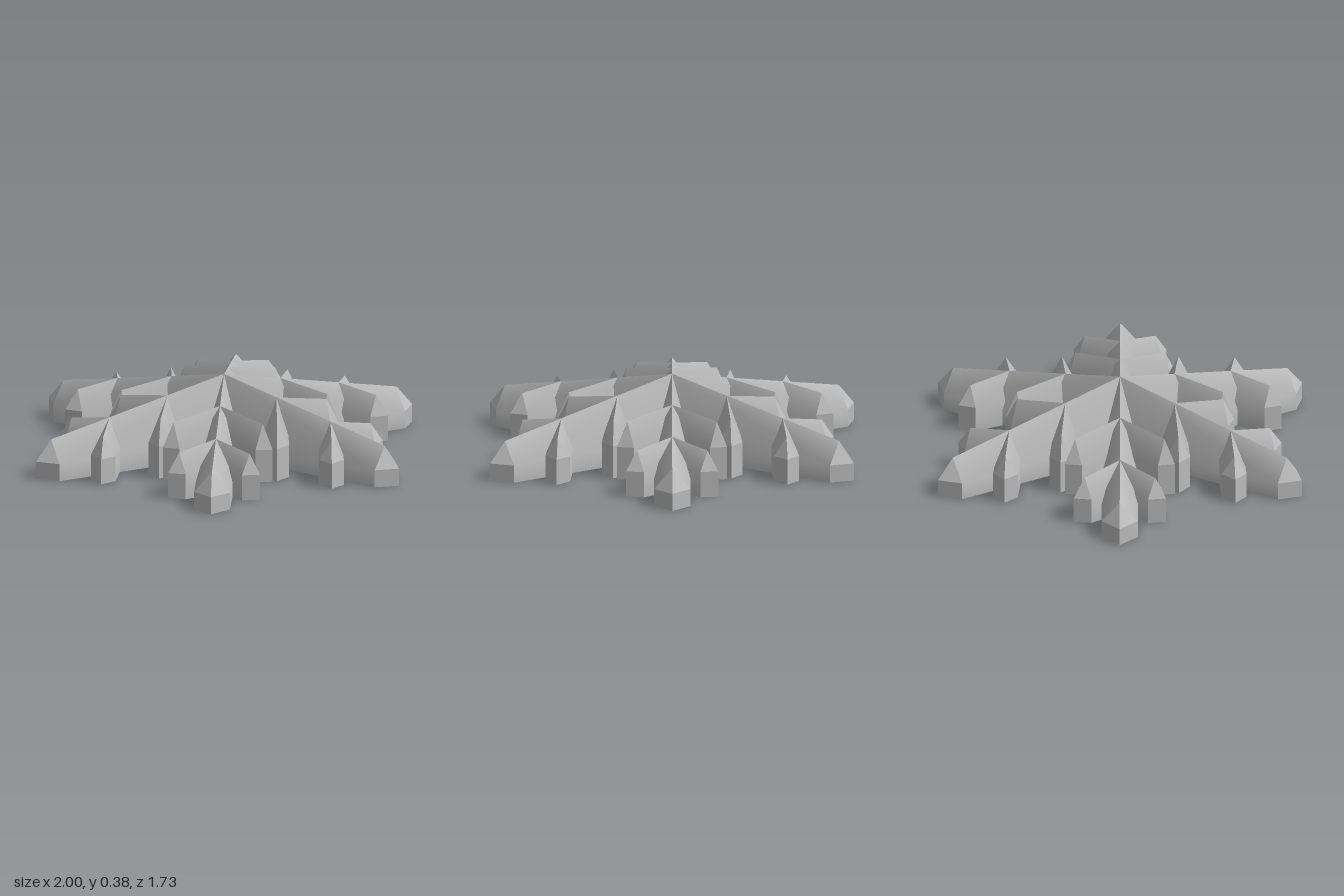
import * as THREE from 'three';
import { mergeGeometries } from 'three/addons/utils/BufferGeometryUtils.js';

// Geometry from points and triangles; shared points give smooth normals.
function faces(points, index, smooth) {
  let g = new THREE.BufferGeometry();
  g.setAttribute('position', new THREE.Float32BufferAttribute(points.flat(), 3));
  g.setIndex(index);
  if (!smooth) g = g.toNonIndexed();
  g.computeVertexNormals();
  return smooth ? g.toNonIndexed() : g;
}

// Crystal bar along +x: upright sides, a sloping ridge and a pointed end.
function crystal({ length, tip, halfWidth: w, eave, ridgeStart, ridgeEnd }) {
  // One side: wall and roof, from the foot up to the ridge.
  const side = (s) => faces(
    [
      [0, 0, s * w], [length, 0, s * w],
      [0, eave, s * w], [length, eave, s * w],
      [0, ridgeStart, 0], [length, ridgeEnd, 0],
    ],
    s > 0 ? [0, 1, 3, 0, 3, 2, 2, 3, 4, 3, 5, 4] : [0, 3, 1, 0, 2, 3, 2, 4, 3, 3, 4, 5],
    true,
  );
  // Pointed end with two walls and two roof facets, plus the flat underside.
  const end = faces(
    [
      [length, 0, w], [tip, 0, 0], [length, 0, -w],
      [length, eave, w], [tip, eave, 0], [length, eave, -w],
      [length, ridgeEnd, 0], [0, 0, w], [0, 0, -w],
    ],
    [
      0, 1, 4, 0, 4, 3, 1, 2, 5, 1, 5, 4,
      3, 4, 6, 4, 5, 6,
      0, 2, 1, 7, 8, 2, 7, 2, 0,
    ],
    false,
  );
  return mergeGeometries([side(1), side(-1), end]);
}

export function createModel() {
  const model = new THREE.Group();
  model.name = 'snowflake';
  const ice = new THREE.MeshStandardMaterial({ color: 0xbcbcbc });
  ice.name = 'pale grey';

  const armGeometry = crystal({
    length: 0.918, tip: 1, halfWidth: 0.086, eave: 0.085, ridgeStart: 0.38, ridgeEnd: 0.185,
  });
  const branches = [
    {
      name: 'innerBranch', at: 0.3, angle: 56,
      geometry: crystal({
        length: 0.257, tip: 0.316, halfWidth: 0.057, eave: 0.16, ridgeStart: 0.316, ridgeEnd: 0.277,
      }),
    },
    {
      name: 'outerBranch', at: 0.608, angle: 55,
      geometry: crystal({
        length: 0.205, tip: 0.268, halfWidth: 0.059, eave: 0.125, ridgeStart: 0.251, ridgeEnd: 0.218,
      }),
    },
  ];

  // Six equal arms, each with two mirrored pairs of branches.
  for (let i = 0; i < 6; i++) {
    const arm = new THREE.Group();
    arm.name = 'arm' + (i + 1);
    arm.rotation.y = (i * Math.PI) / 3;
    const bar = new THREE.Mesh(armGeometry, ice);
    bar.name = 'armBar';
    arm.add(bar);
    for (const { name, at, angle, geometry } of branches) {
      for (const s of [-1, 1]) {
        const branch = new THREE.Mesh(geometry, ice);
        branch.name = name;
        branch.position.x = at;
        branch.rotation.y = s * THREE.MathUtils.degToRad(angle);
        arm.add(branch);
      }
    }
    model.add(arm);
  }
  return model;
}
